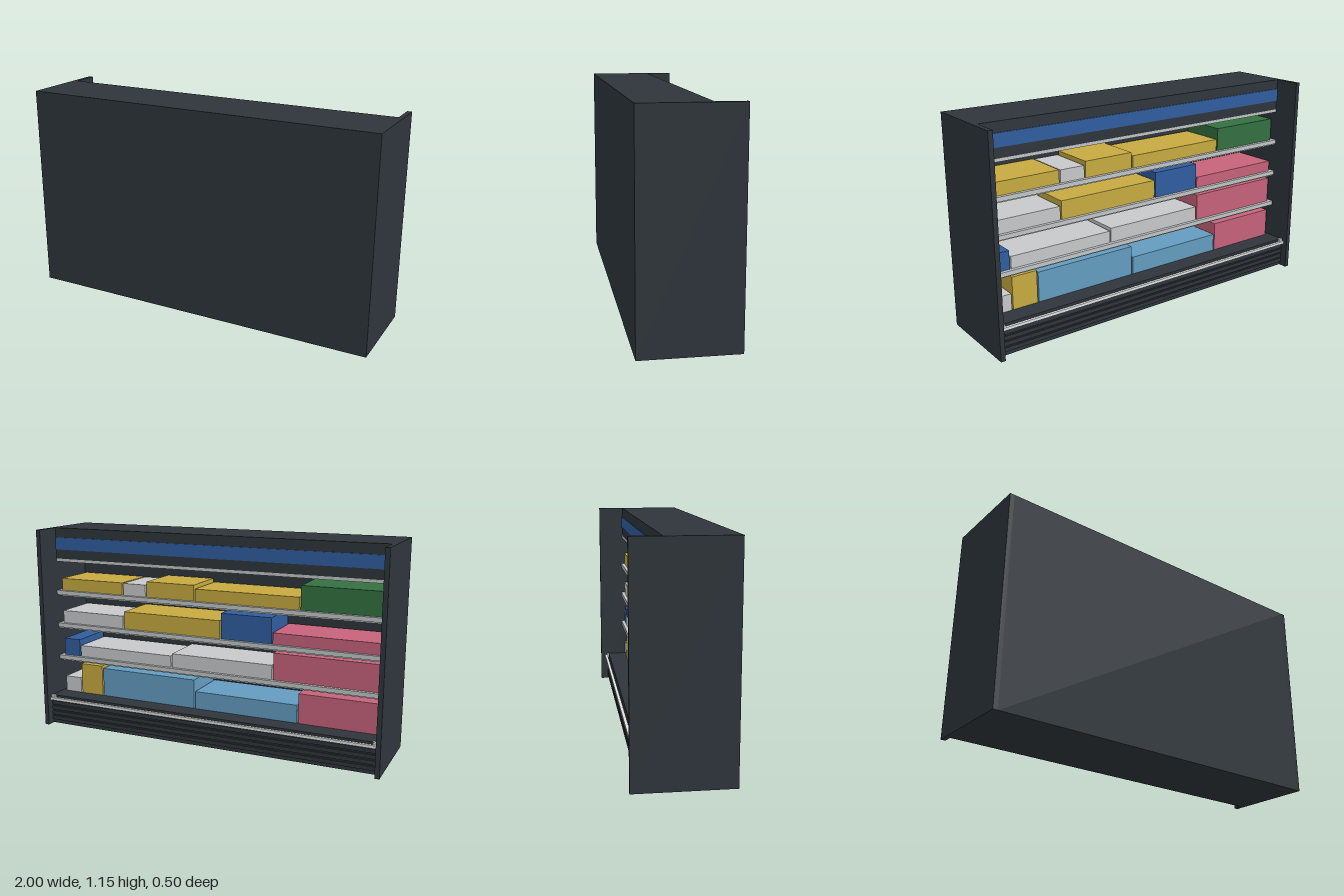
import * as THREE from 'three';

const mat = (name, color) => {
  const m = new THREE.MeshStandardMaterial({ color });
  m.name = name;
  return m;
};

export function createModel() {
  const model = new THREE.Group();
  model.name = 'refrigeratedShelfCabinet';

  const body = mat('charcoal', 0x2e353b);
  const metal = mat('shelfGrey', 0xc2c5c6);
  const rail = mat('paleRail', 0xdfe2e2);
  const goodsMats = {
    white: mat('white', 0xc6c8ca),
    yellow: mat('yellow', 0xc6aa40),
    blue: mat('blue', 0x2f5d9f),
    green: mat('green', 0x337040),
    pink: mat('pink', 0xc6627a),
    sky: mat('skyBlue', 0x639cc0),
  };

  // Box given by its lower and upper limits on each axis
  const box = (name, material, x0, x1, y0, y1, z0, z1, parent = model) => {
    const mesh = new THREE.Mesh(new THREE.BoxGeometry(x1 - x0, y1 - y0, z1 - z0), material);
    mesh.position.set((x0 + x1) / 2, (y0 + y1) / 2, (z0 + z1) / 2);
    mesh.name = name;
    parent.add(mesh);
    return mesh;
  };
  const W = 0.975; // inner half width

  // Carcass
  box('leftEndPanel', body, W, 1, 0, 1.15, -0.25, 0.25);
  box('rightEndPanel', body, -1, -W, 0, 1.15, -0.25, 0.25);
  box('backWall', body, -W, W, 0, 1.15, 0.19, 0.25);
  box('canopy', body, -W, W, 0.968, 1.15, -0.1, 0.19);
  box('canopyStripe', goodsMats.blue, -W, W, 1.025, 1.095, -0.105, -0.099);
  box('base', body, -W, W, 0, 0.172, -0.2, 0.19);

  // Air outlet slats under the canopy
  for (let i = 0; i < 3; i++) {
    const z = -0.102 + i * 0.016;
    box('airOutletSlat', metal, -W, W, 0.955, 0.972, z, z + 0.009);
  }

  // Ribbed kick panel and handrail
  for (let i = 0; i < 4; i++) {
    const y = 0.022 + i * 0.031;
    box('kickPanelRib', body, -W, W, y, y + 0.022, -0.208, -0.199);
  }
  box('handrail', rail, -W, W, 0.146, 0.162, -0.225, -0.209);
  for (const s of [-1, 1]) {
    box('handrailBracket', rail, s * 0.963 - 0.012, s * 0.963 + 0.012, 0.148, 0.174, -0.212, -0.198);
  }

  // Shelves with a stepped price channel
  for (const top of [0.785, 0.59, 0.395]) {
    const shelf = new THREE.Group();
    shelf.name = 'shelf';
    box('shelfBoard', metal, -W, W, top - 0.016, top, -0.1, 0.19, shelf);
    box('priceChannel', metal, -W, W, top - 0.024, top, -0.11, -0.1, shelf);
    box('lowerLip', metal, -W, W, top - 0.032, top - 0.016, -0.1, -0.092, shelf);
    model.add(shelf);
  }

  // Goods: each row runs from x = 0.95 to -0.95 as [colour, right end, height]
  const rows = [
    [0.785, [['yellow', 0.545, 0.07], ['white', 0.395, 0.068], ['yellow', 0.095, 0.088], ['yellow', -0.51, 0.068], ['green', -0.95, 0.13]]],
    [0.59, [['white', 0.545, 0.073], ['yellow', -0.06, 0.1], ['blue', -0.36, 0.142], ['pink', -0.95, 0.062]]],
    [0.395, [['blue', 0.845, 0.1], ['white', 0.24, 0.066], ['white', -0.365, 0.08], ['pink', -0.95, 0.148]]],
    [0.172, [['white', 0.845, 0.09], ['yellow', 0.695, 0.178], ['sky', 0.095, 0.166], ['sky', -0.51, 0.1], ['pink', -0.95, 0.165]]],
  ];
  rows.forEach(([y, items]) => {
    const row = new THREE.Group();
    row.name = 'goodsRow';
    let left = 0.95;
    for (const [colour, right, h] of items) {
      box(colour + 'Goods', goodsMats[colour], right, left, y, y + h, -0.09, 0.17, row);
      left = right - 0.008;
    }
    model.add(row);
  });

  return model;
}
